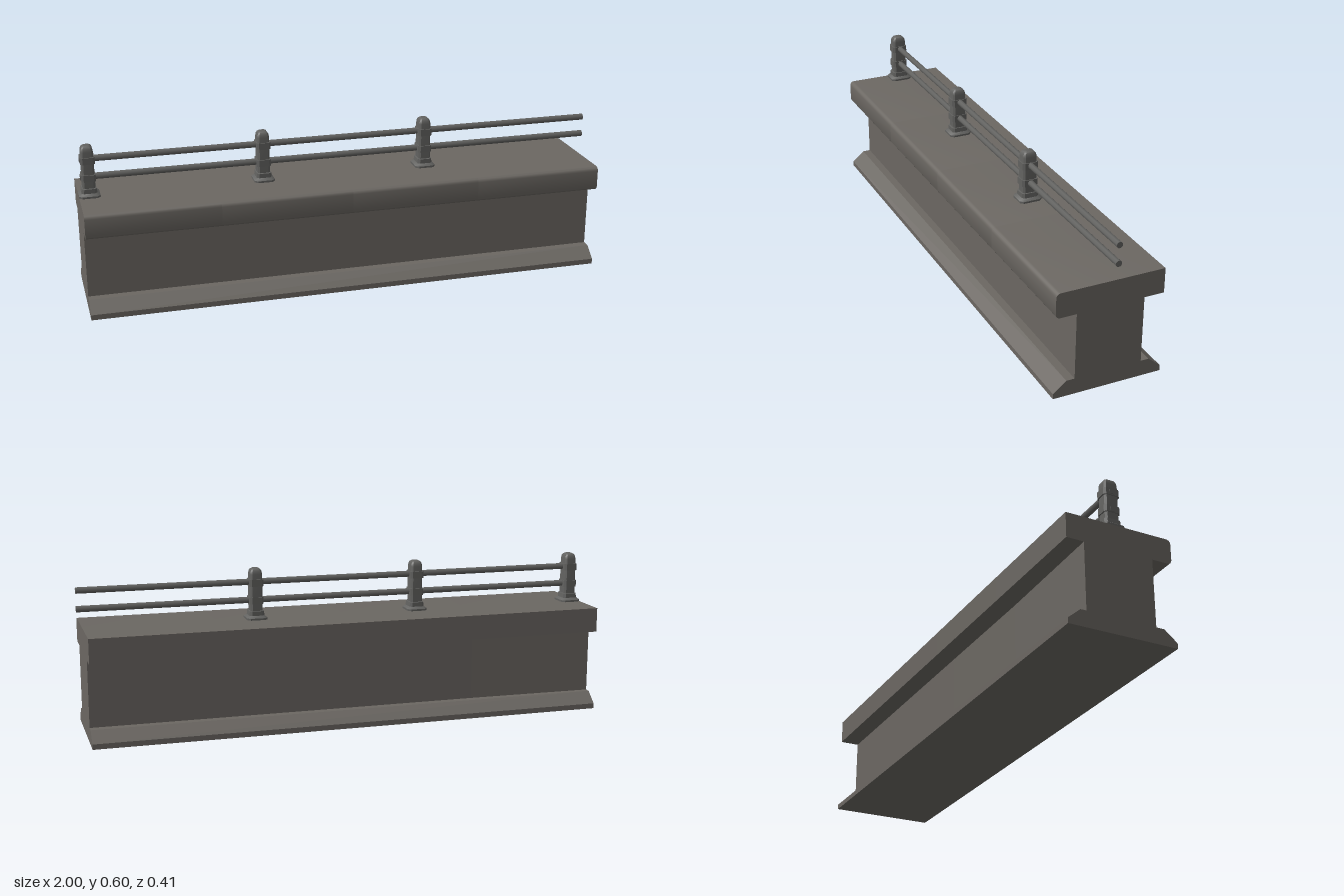
import * as THREE from 'three';
import { toCreasedNormals } from 'three/addons/utils/BufferGeometryUtils.js';

const concrete = new THREE.MeshStandardMaterial({ color: 0x6b6762 });
concrete.name = 'concrete';
const metal = new THREE.MeshStandardMaterial({ color: 0x626260 });
metal.name = 'weathered metal';

const X0 = -1, X1 = 0.98, BLOCKS = 4;

function part(name, geometry, material) {
  const mesh = new THREE.Mesh(geometry, material);
  mesh.name = name;
  return mesh;
}

// Extrudes a z/y outline along x, starting at the given x
function extrudeAlongX(outline, x, length) {
  const shape = new THREE.Shape(outline.map(([z, y]) => new THREE.Vector2(-z, y)));
  const g = new THREE.ExtrudeGeometry(shape, { depth: length, bevelEnabled: false });
  g.rotateY(Math.PI / 2).translate(x, 0, 0);
  return toCreasedNormals(g, 0.6);
}

// Coping outline: square at the back, rounded along the front edges
function copingOutline() {
  const back = -0.202, front = 0.204, low = 0.312, high = 0.406, r = 0.016;
  const points = [[back, low]];
  for (const [cy, start] of [[low + r, -Math.PI / 2], [high - r, 0]]) {
    for (let i = 0; i <= 4; i++) {
      const a = start + (i / 4) * Math.PI / 2;
      points.push([front - r + r * Math.cos(a), cy + r * Math.sin(a)]);
    }
  }
  points.push([back, high]);
  return points;
}

// Stacks chamfered rectangles, given as [y, half x, half z], into a closed solid
function loftChamfered(levels, chamfer = 0.3) {
  const ring = ([y, hx, hz]) => {
    const c = Math.min(hx, hz) * chamfer;
    return [[hx, hz - c], [hx - c, hz], [c - hx, hz], [-hx, hz - c],
      [-hx, c - hz], [c - hx, -hz], [hx - c, -hz], [hx, c - hz]]
      .map(([x, z]) => [x, y, z]);
  };
  const rings = levels.map(ring);
  const positions = [];
  const tri = (a, b, c) => positions.push(...a, ...b, ...c);
  for (let k = 0; k < rings.length - 1; k++) {
    for (let i = 0; i < 8; i++) {
      const j = (i + 1) % 8, a = rings[k], b = rings[k + 1];
      tri(a[i], b[i], a[j]);
      tri(a[j], b[i], b[j]);
    }
  }
  const bottom = rings[0], top = rings[rings.length - 1];
  for (let i = 1; i < 7; i++) {
    tri(bottom[0], bottom[i], bottom[i + 1]);
    tri(top[0], top[i + 1], top[i]);
  }
  const g = new THREE.BufferGeometry();
  g.setAttribute('position', new THREE.Float32BufferAttribute(positions, 3));
  g.computeVertexNormals();
  return toCreasedNormals(g, 0.5);
}

function createPost() {
  const post = new THREE.Group();
  post.name = 'railingPost';
  // Flared foot, collar, shaft and domed head
  post.add(part('postBody', loftChamfered([
    [0.404, 0.039, 0.0435], [0.413, 0.039, 0.0435], [0.421, 0.029, 0.032],
    [0.438, 0.027, 0.032], [0.439, 0.0235, 0.0265], [0.577, 0.0225, 0.0265],
    [0.589, 0.0205, 0.0245], [0.596, 0.0165, 0.0195], [0.6, 0.010, 0.012],
  ]), metal));
  // Raised bands that hold the rails
  for (const y of [0.478, 0.545]) {
    post.add(part('railBand', loftChamfered([
      [y - 0.013, 0.0265, 0.031], [y + 0.013, 0.0265, 0.031],
    ]), metal));
  }
  return post;
}

export function createModel() {
  const model = new THREE.Group();
  model.name = 'parapetWall';

  // Plinth with sloping shoulders
  model.add(part('plinth', extrudeAlongX([
    [-0.205, 0], [0.207, 0], [0.207, 0.02], [0.158, 0.06], [-0.158, 0.06], [-0.205, 0.02],
  ], X0, X1 - X0), concrete));

  // Wall and coping blocks
  const length = (X1 - X0) / BLOCKS;
  for (let i = 0; i < BLOCKS; i++) {
    const x = X0 + i * length;
    const wall = new THREE.BoxGeometry(length, 0.256, 0.254).translate(x + length / 2, 0.186, 0);
    if (i === 0) {
      // The end block widens slightly at the back
      const p = wall.attributes.position;
      for (let v = 0; v < p.count; v++) {
        if (p.getZ(v) < 0 && p.getX(v) < X0 + 0.01) p.setZ(v, -0.136);
      }
      wall.computeVertexNormals();
    }
    model.add(part('wallBlock', wall, concrete));
    model.add(part('copingBlock', extrudeAlongX(copingOutline(), x, length), concrete));
  }

  // Railing
  const railing = new THREE.Group();
  railing.name = 'railing';
  railing.position.z = -0.0105;
  for (const x of [-0.961, -0.307, 0.331]) {
    const post = createPost();
    post.position.x = x;
    railing.add(post);
  }
  for (const y of [0.478, 0.547]) {
    const g = new THREE.CylinderGeometry(0.012, 0.012, 1.99, 8);
    g.rotateY(Math.PI / 8).rotateZ(Math.PI / 2).translate(0.005, y, 0);
    railing.add(part('rail', g, metal));
  }
  model.add(railing);
  return model;
}
